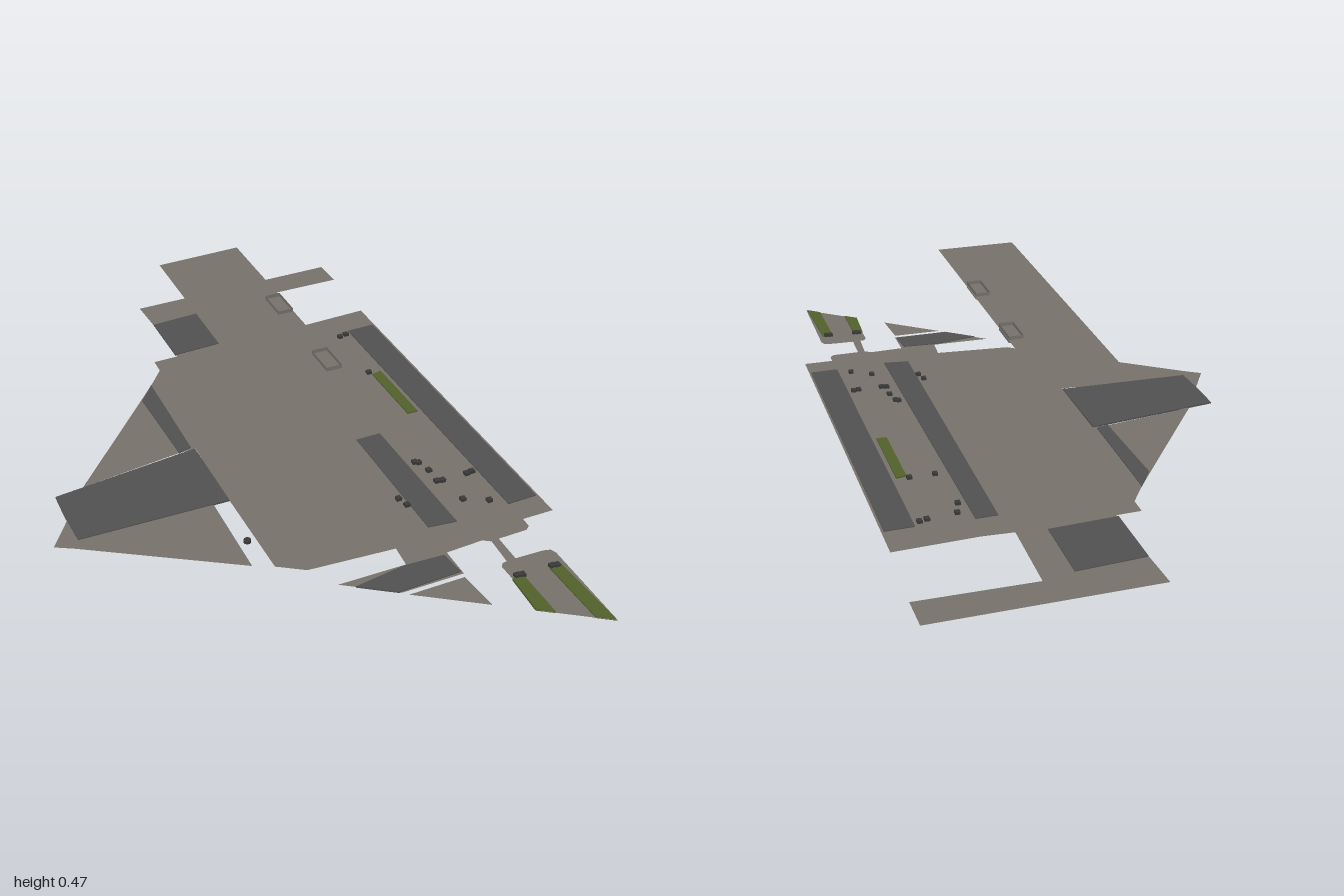
import * as THREE from 'three';

const HEADING = 0.623; // angle of the long axis from +z

export function createModel() {
  const model = new THREE.Group();
  const mat = (name, color) => new THREE.MeshStandardMaterial({ name, color, side: THREE.DoubleSide });
  const grey = mat('concrete grey', 0x78736c);
  const dark = mat('dark grey', 0x525252);
  const green = mat('olive green', 0x53622b);
  const black = mat('charcoal', 0x3a3a3a);

  const add = (name, geometry, material) => {
    const mesh = new THREE.Mesh(geometry, material);
    mesh.name = name;
    model.add(mesh);
    return mesh;
  };

  // Outline given as x, z pairs; laid flat as a sheet, or as a slab when thick
  const flat = (name, pts, material, y, thick = 0) => {
    const shape = new THREE.Shape(pts.map(([x, z]) => new THREE.Vector2(x, -z)));
    const geo = thick
      ? new THREE.ExtrudeGeometry(shape, { depth: thick, bevelEnabled: false })
      : new THREE.ShapeGeometry(shape);
    geo.rotateX(-Math.PI / 2).translate(0, y, 0);
    return add(name, geo, material);
  };
  const G = 0.006; // level of the grey sheets

  // Main apron
  flat('apron', [
    [-0.1, -0.667], [0.743, 0.497], [0.653, 0.561], [0.674, 0.593], [0.669, 0.614], [0.563, 0.693],
    [0.537, 0.693], [0.325, 0.86], [0.278, 0.783], [0.03, 0.935], [-0.071, 0.937],
    [-0.293, 0.64], [-0.485, 0.376], [-0.753, -0.085], [-0.79, -0.138], [-0.436, -0.413], [-0.34, -0.476],
  ], grey, G);

  // T-shaped pier at the back
  flat('pierBar', [[-0.33, -1], [-0.256, -0.9], [-0.6, -0.651], [-0.875, -0.4], [-0.97, -0.518]], grey, G);
  flat('pierStem', [[-0.6, -0.651], [-0.436, -0.413], [-0.711, -0.185], [-0.875, -0.402]], grey, G);
  flat('pierPad', [[-0.679, -0.566], [-0.531, -0.36], [-0.727, -0.201], [-0.875, -0.402]], dark, 0.003, 0.006);

  // Side wing: two grey triangles and dark pads
  flat('wingBack', [[-0.753, -0.095], [-0.753, 0.021], [-0.785, 0.66], [-0.53, 0.413], [-0.48, 0.376]], grey, G);
  flat('wingFront', [[-0.785, 0.63], [-0.768, 0.974], [-0.7, 0.968], [-0.14, 0.947], [-0.345, 0.661]], grey, G);
  flat('wingStrip', [[-0.753, 0.021], [-0.5, 0.376], [-0.531, 0.413], [-0.753, 0.127]], dark, 0.003, 0.006);
  flat('wingPad', [[-0.484, 0.381], [-0.293, 0.64], [-0.706, 0.926], [-0.79, 0.82], [-0.854, 0.73]],
    dark, 0.003, 0.006);
  add('post', new THREE.CylinderGeometry(0.012, 0.012, 0.01, 12).translate(-0.185, 0.831, 0), black)
    .position.set(0, 0, 0);
  model.children.at(-1).geometry.translate(0, -0.825, 0.831);

  // Front fin, split by a narrow gap
  flat('finBack', [[0.135, 0.984], [0.435, 0.772], [0.5, 0.862], [0.33, 0.984]], grey, G);
  flat('finPad', [[0.43, 0.788], [0.49, 0.857], [0.322, 0.984], [0.19, 0.984], [0.315, 0.862]], dark, 0.003, 0.006);
  flat('finFront', [[0.505, 0.878], [0.6, 0.989], [0.352, 0.989]], grey, G);

  // Outlying pad on a narrow neck
  flat('neck', [[0.558, 0.68], [0.58, 0.665], [0.65, 0.765], [0.625, 0.785]], grey, G);
  flat('outerPad', [
    [0.727, 0.708], [0.75, 0.699], [0.768, 0.71], [0.967, 0.989], [0.743, 0.989],
    [0.61, 0.81], [0.61, 0.792], [0.63, 0.773],
  ], grey, G);
  flat('outerGreenLeft', [[0.785, 0.762], [0.96, 0.986], [0.9, 0.986], [0.753, 0.79]], green, 0.002, 0.008);
  flat('outerGreenRight', [[0.679, 0.841], [0.785, 0.986], [0.727, 0.986], [0.647, 0.862]], green, 0.002, 0.008);

  // Long strips on the apron
  flat('stripLeft', [[-0.034, -0.561], [0.684, 0.429], [0.6, 0.492], [-0.119, -0.497]], dark, 0, 0.009);
  flat('stripRight', [[-0.288, -0.381], [0.447, 0.614], [0.362, 0.661], [-0.351, -0.333]], dark, 0, 0.009);
  flat('greenStrip', [[0.056, -0.228], [0.23, 0.011], [0.198, 0.032], [0.029, -0.201]], green, 0.002, 0.009);

  // Small boxes scattered along the strips
  const spots = [
    [-0.22, -0.37], [-0.2, -0.312], [-0.14, -0.444], [-0.122, -0.466], [-0.06, -0.155], [0.015, -0.21],
    [0.267, 0.323], [0.28, 0.323], [0.32, 0.36], [0.355, 0.415], [0.373, 0.407], [0.447, 0.354],
    [0.462, 0.339], [0.452, 0.497], [0.537, 0.487], [0.278, 0.561], [0.246, 0.534],
    [0.66, 0.847], [0.675, 0.84], [0.76, 0.782], [0.775, 0.775],
  ];
  for (const [x, z] of spots) {
    const box = add('smallBox', new THREE.BoxGeometry(0.018, 0.012, 0.018), black);
    box.position.set(x, 0.011, z);
    box.rotation.y = HEADING;
  }

  // Raised deck sheet
  flat('raisedDeck', [[-0.484, -0.259], [0.277, 0.783], [0.03, 0.963], [-0.718, -0.074]], grey, 0.457);

  // Open rectangular frames along the deck edge
  for (const [x, z] of [[-0.235, 0.13], [-0.005, 0.45]]) {
    const geo = new THREE.CylinderGeometry(Math.SQRT1_2, Math.SQRT1_2, 1, 4, 1, true, Math.PI / 4).toNonIndexed();
    geo.scale(0.052, 0.025, 0.117);
    geo.computeVertexNormals();
    const frame = add('deckFrame', geo, grey);
    frame.position.set(x, 0.4575, z);
    frame.rotation.y = HEADING;
  }
  return model;
}
